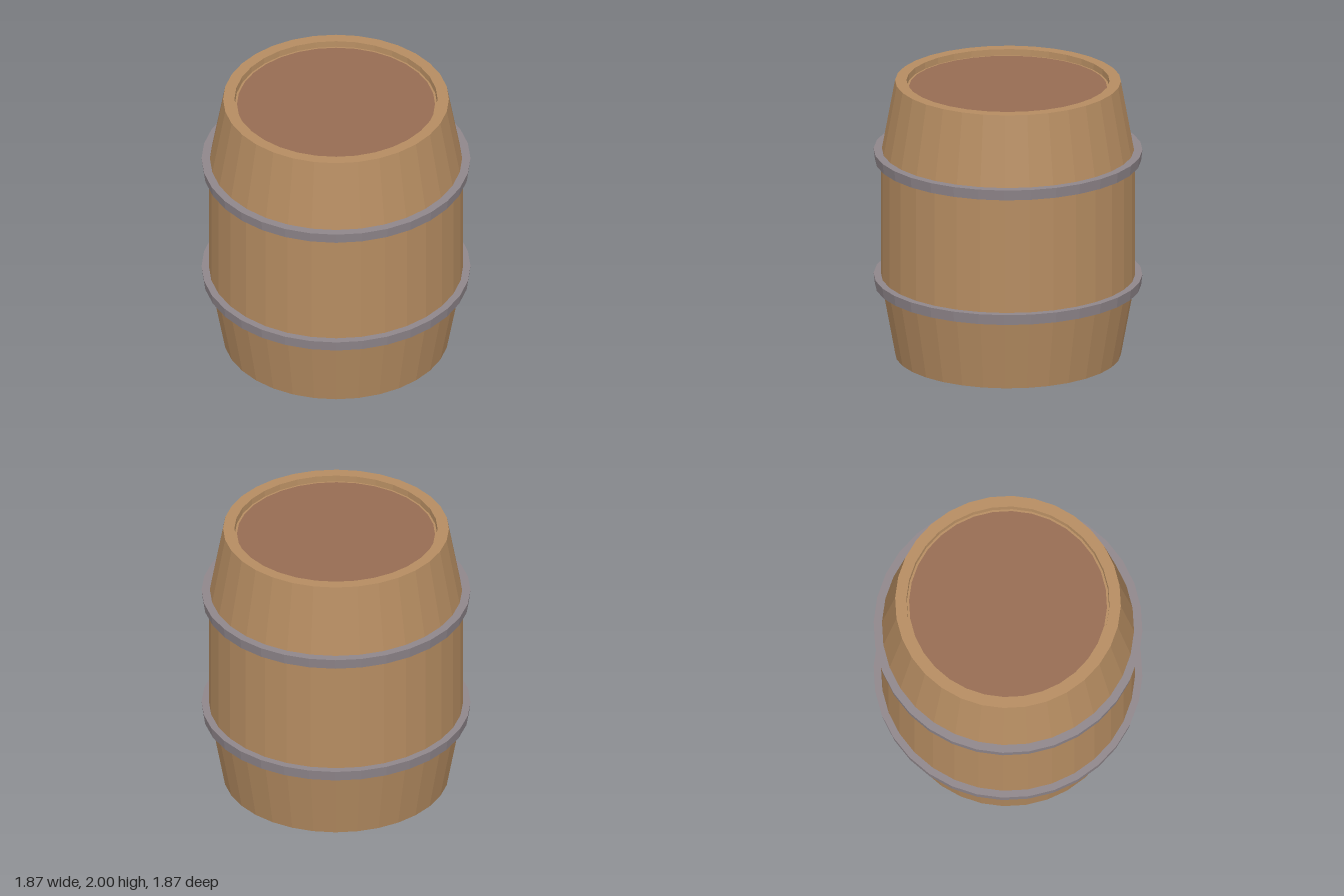
import * as THREE from 'three';

const SIDES = 32;

const material = (color) => new THREE.MeshStandardMaterial({ color, flatShading: true });

// Faceted solid of revolution from [radius, height] pairs, listed bottom to top
function turned(name, profile, mat) {
  const points = profile.map(([r, y]) => new THREE.Vector2(r, y));
  const mesh = new THREE.Mesh(new THREE.LatheGeometry(points, SIDES), mat);
  mesh.name = name;
  return mesh;
}

export function createModel() {
  const group = new THREE.Group();
  group.name = 'barrel';
  const wood = material(0xb58c61);
  const lidWood = material(0x966c52);
  const iron = material(0x8f868b);

  // Body: tapered ends, straight belly, recessed heads inside both rims
  const recess = 0.045;
  const lower = [[0, recess], [0.705, recess], [0.708, 0], [0.787, 0], [0.886, 0.54]];
  const upper = lower.map(([r, y]) => [r, 2 - y]).reverse();
  group.add(turned('body', [...lower, ...upper], wood));

  // Head discs lying in the recesses
  for (const [name, y, turn] of [['topLid', 2 - recess + 0.002, -1], ['bottomLid', recess - 0.002, 1]]) {
    const lid = new THREE.Mesh(new THREE.CircleGeometry(0.69, SIDES), lidWood);
    lid.name = name;
    lid.rotation.x = turn * Math.PI / 2;
    lid.position.y = y;
    group.add(lid);
  }

  // Iron hoops, flaring slightly towards the top
  for (const [name, y] of [['lowerHoop', 0.51], ['upperHoop', 1.423]]) {
    const hoop = turned(name, [[0.865, 0], [0.928, 0], [0.937, 0.075], [0.865, 0.075], [0.865, 0]], iron);
    hoop.position.y = y;
    group.add(hoop);
  }
  return group;
}
